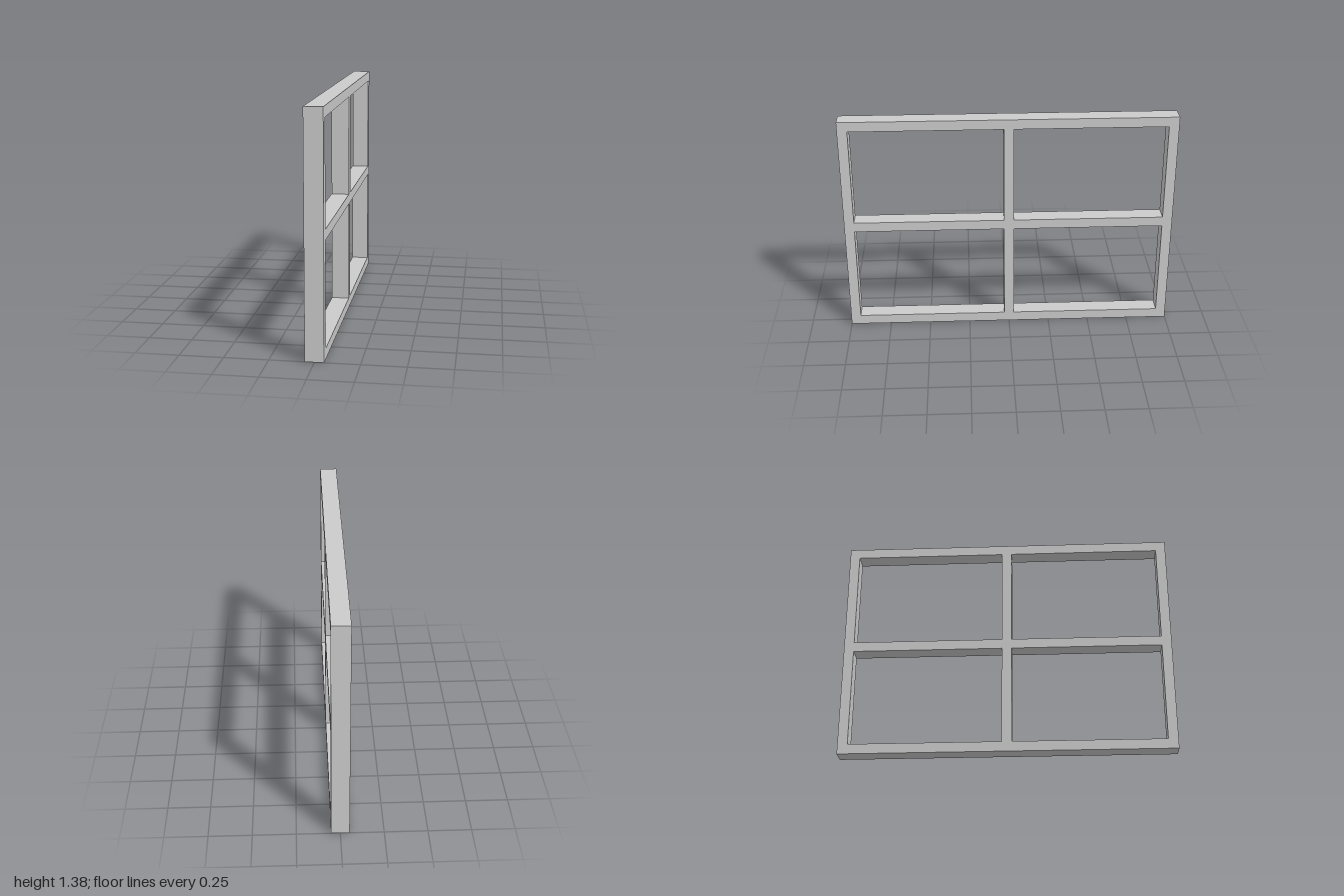
import * as THREE from 'three';

const HEIGHT = 1.377, LENGTH = 2, DEPTH = 0.106, BAR = 0.06;

// Adds a rectangle to a shape or path
function rect(path, x0, y0, x1, y1) {
  path.moveTo(x0, y0);
  path.lineTo(x1, y0);
  path.lineTo(x1, y1);
  path.lineTo(x0, y1);
  path.closePath();
  return path;
}

export function createModel() {
  const group = new THREE.Group();
  group.name = 'windowFrame';

  // Outer outline of the frame
  const outline = rect(new THREE.Shape(), -LENGTH / 2, 0, LENGTH / 2, HEIGHT);

  // Four openings, leaving the rim, the mullion and the crossbar
  const columns = [[-LENGTH / 2 + BAR, -BAR / 2], [BAR / 2, LENGTH / 2 - BAR]];
  const rows = [[BAR, 0.661], [0.721, HEIGHT - BAR]];
  for (const [x0, x1] of columns)
    for (const [y0, y1] of rows)
      outline.holes.push(rect(new THREE.Path(), x0, y0, x1, y1));

  // Extrude the thickness, then turn the frame to run along z
  const geometry = new THREE.ExtrudeGeometry(outline, { depth: DEPTH, bevelEnabled: false });
  geometry.translate(0, 0, -DEPTH / 2);
  geometry.rotateY(-Math.PI / 2);

  const frame = new THREE.Mesh(
    geometry,
    new THREE.MeshStandardMaterial({ color: 0xcccccc, flatShading: true })
  );
  frame.name = 'frameWithCrossbars';
  group.add(frame);
  return group;
}
